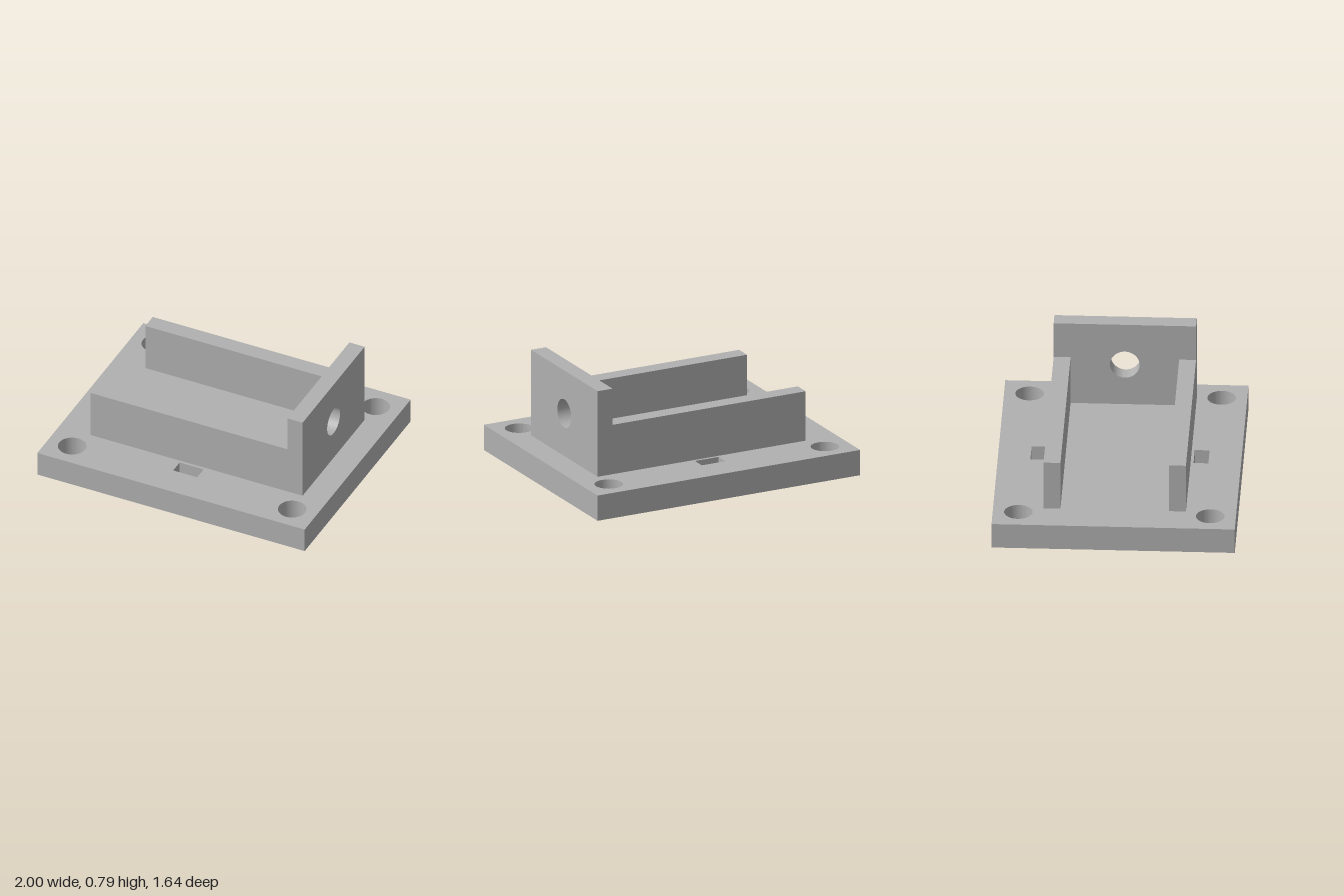
import * as THREE from 'three';
import { toCreasedNormals } from 'three/addons/utils/BufferGeometryUtils.js';

const BASE_TOP = 0.18;

function rectPoints(x0, y0, x1, y1) {
  return [[x0, y0], [x1, y0], [x1, y1], [x0, y1]].map(([x, y]) => new THREE.Vector2(x, y));
}

function circleHole(x, y, radius) {
  return new THREE.Path().absarc(x, y, radius, 0, Math.PI * 2, true);
}

// Flat plate with holes: sharp rims, smooth bores
function extrude(shape, depth) {
  const geometry = new THREE.ExtrudeGeometry(shape, { depth, bevelEnabled: false, curveSegments: 32 });
  return toCreasedNormals(geometry, Math.PI / 6);
}

export function createModel() {
  const group = new THREE.Group();
  const grey = new THREE.MeshStandardMaterial({ color: 0xb0b0b0 });
  grey.name = 'plain grey';

  const add = (name, geometry) => {
    const mesh = new THREE.Mesh(geometry, grey);
    mesh.name = name;
    group.add(mesh);
    return mesh;
  };

  // Base plate with four corner holes and two strap slots
  const base = new THREE.Shape(rectPoints(-1, -0.82, 1, 0.82));
  for (const sy of [-1, 1]) {
    for (const sx of [-1, 1]) base.holes.push(circleHole(sx * 0.823, sy * 0.647, 0.096));
    base.holes.push(new THREE.Path(rectPoints(-0.09, sy * 0.55 - 0.05, 0.09, sy * 0.55 + 0.05)));
  }
  add('basePlate', extrude(base, BASE_TOP).rotateX(-Math.PI / 2));

  // Tall end wall with a round through hole
  const wall = new THREE.Shape(rectPoints(-0.48, BASE_TOP, 0.48, 0.79));
  wall.holes.push(circleHole(0, 0.484, 0.1));
  add('endWall', extrude(wall, 0.114).rotateY(Math.PI / 2)).position.x = 0.706;

  // Pair of low side rails
  const railHeight = 0.532 - BASE_TOP;
  for (const [name, side] of [['frontRail', 1], ['backRail', -1]]) {
    add(name, new THREE.BoxGeometry(1.471, railHeight, 0.114))
      .position.set(-0.0295, BASE_TOP + railHeight / 2, side * 0.423);
  }

  return group;
}
